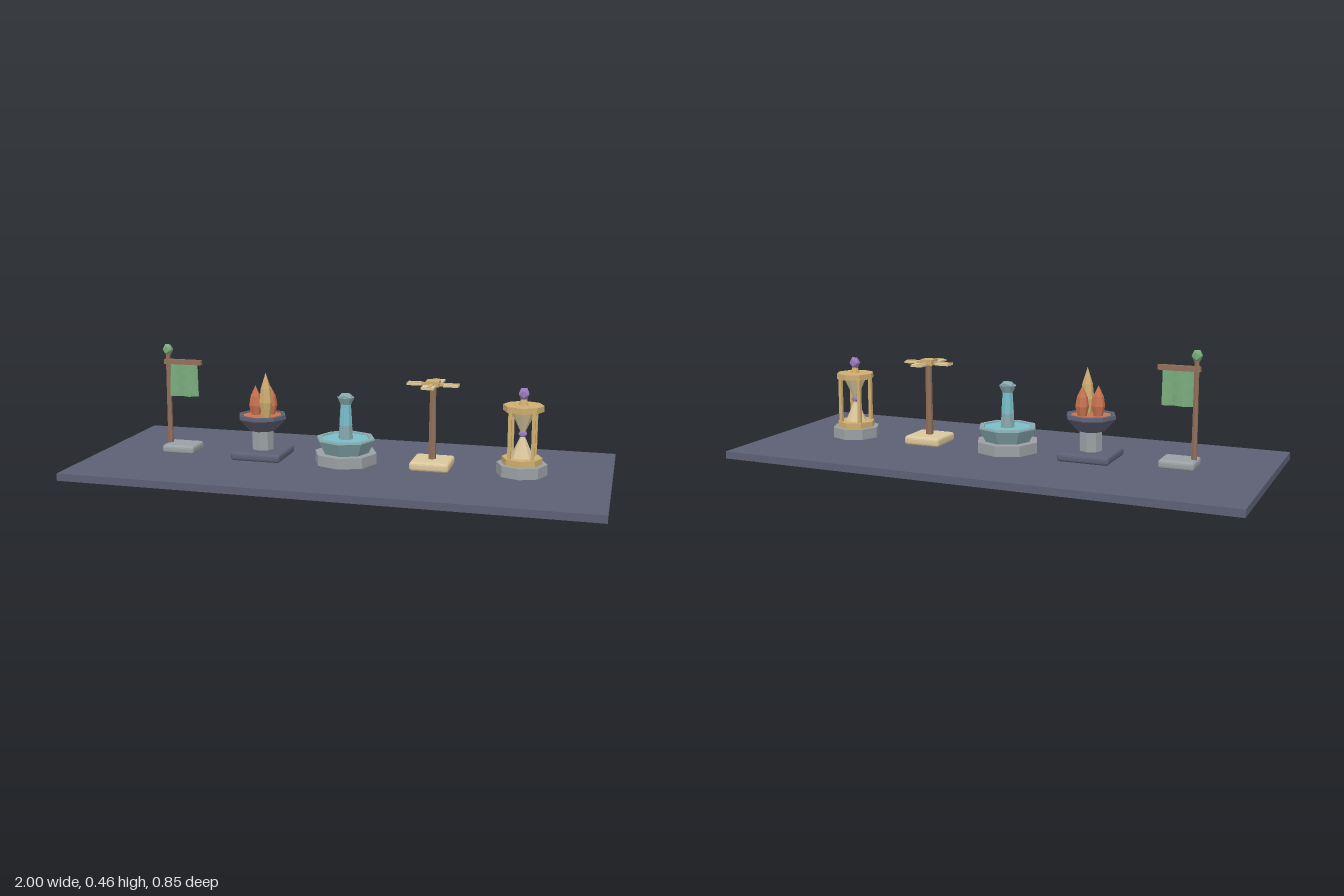
import * as THREE from 'three';
import { RoundedBoxGeometry } from 'three/addons/geometries/RoundedBoxGeometry.js';

const flat = (name, color) => {
  const m = new THREE.MeshStandardMaterial({ color, flatShading: true, side: THREE.DoubleSide });
  m.name = name;
  return m;
};

export function createModel() {
  const slate = flat('slate', 0x5d6074);
  const stone = flat('stone', 0x9aa0a4);
  const paleTeal = flat('paleTealStone', 0x86a9ad);
  const water = flat('water', 0x78bdc8);
  const gold = flat('goldenWood', 0xcfae70);
  const sand = flat('sand', 0xdac79c);
  const brown = flat('brownWood', 0x92705a);
  const green = flat('green', 0x7aac7c);
  const ember = flat('ember', 0xc87350);
  const purple = flat('purple', 0x9a7cbc);

  const root = new THREE.Group();
  const group = (name, x) => {
    const g = new THREE.Group();
    g.name = name;
    g.position.x = x;
    root.add(g);
    return g;
  };
  const add = (parent, name, geo, mat, x = 0, y = 0, z = 0) => {
    const m = new THREE.Mesh(geo, mat);
    m.name = name;
    m.position.set(x, y, z);
    parent.add(m);
    return m;
  };
  // Shapes given by bottom and top height
  const box = (p, name, mat, w, d, y0, y1, x = 0, z = 0) =>
    add(p, name, new THREE.BoxGeometry(w, y1 - y0, d), mat, x, (y0 + y1) / 2, z);
  const slab = (p, name, mat, w, d, y0, y1, x = 0) =>
    add(p, name, new RoundedBoxGeometry(w, y1 - y0, d, 2, 0.012), mat, x, (y0 + y1) / 2, 0);
  const prism = (p, name, mat, r0, r1, y0, y1, sides = 8, x = 0, z = 0) =>
    add(p, name, new THREE.CylinderGeometry(r1, r0, y1 - y0, sides), mat, x, (y0 + y1) / 2, z);
  const gem = (p, name, mat, r, y, x = 0, stretch = 1) => {
    const m = add(p, name, new THREE.IcosahedronGeometry(r, 0), mat, x, y, 0);
    m.scale.y = stretch;
    return m;
  };
  const lathe = (p, name, mat, pts, sides, x = 0, z = 0) =>
    add(p, name, new THREE.LatheGeometry(pts.map(a => new THREE.Vector2(...a)), sides), mat, x, 0, z);

  // Ground
  box(root, 'ground', slate, 2, 0.854, 0, 0.028);

  // Banner
  const banner = group('banner', -0.675);
  slab(banner, 'bannerBase', stone, 0.134, 0.114, 0.034, 0.068);
  prism(banner, 'bannerPole', brown, 0.011, 0.009, 0.066, 0.43, 6, -0.053);
  box(banner, 'crossbar', brown, 0.155, 0.017, 0.386, 0.405, 0.01);
  gem(banner, 'poleGem', green, 0.021, 0.443, -0.053, 1.15);
  const clothGeo = new THREE.BoxGeometry(0.114, 0.13, 0.005, 6, 3, 1);
  const cp = clothGeo.attributes.position;
  for (let i = 0; i < cp.count; i++) {
    const hang = 0.5 - cp.getY(i) / 0.13;
    cp.setZ(i, cp.getZ(i) + 0.006 * hang * Math.sin(cp.getX(i) * 90));
  }
  add(banner, 'cloth', clothGeo, green, 0.013, 0.323, 0);

  // Brazier
  const brazier = group('brazier', -0.337);
  slab(brazier, 'brazierBase', slate, 0.2, 0.196, 0.034, 0.067);
  prism(brazier, 'brazierColumn', stone, 0.044, 0.044, 0.066, 0.145);
  lathe(brazier, 'bowl', slate,
    [[0, 0.142], [0.052, 0.142], [0.097, 0.19], [0.095, 0.204], [0.08, 0.204], [0.076, 0.192]], 8);
  prism(brazier, 'coals', ember, 0.08, 0.08, 0.19, 0.2);
  const flames = [[0.025, 0.027, 0.374, gold], [-0.03, -0.008, 0.315, ember], [0.025, -0.03, 0.312, ember]];
  for (const [x, z, top, mat] of flames) {
    const h = top - 0.195;
    lathe(brazier, 'flame', mat,
      [[0, 0.195], [0.016, 0.195], [0.026, 0.195 + h * 0.35], [0.02, 0.195 + h * 0.65], [0, top]], 6, x, z);
  }

  // Fountain
  const fountain = group('fountain', 0);
  prism(fountain, 'fountainBase', stone, 0.122, 0.122, 0.034, 0.075);
  lathe(fountain, 'basin', paleTeal,
    [[0, 0.075], [0.09, 0.075], [0.116, 0.126], [0.114, 0.132], [0.096, 0.132], [0.092, 0.118]], 8);
  prism(fountain, 'pool', water, 0.096, 0.096, 0.118, 0.127);
  prism(fountain, 'fountainColumn', paleTeal, 0.029, 0.025, 0.12, 0.185);
  prism(fountain, 'waterColumn', water, 0.026, 0.02, 0.18, 0.27);
  prism(fountain, 'spoutCup', paleTeal, 0.022, 0.034, 0.262, 0.288);
  gem(fountain, 'spout', paleTeal, 0.031, 0.288, 0, 0.6);

  // Four-armed post
  const post = group('armPost', 0.337);
  slab(post, 'postBase', sand, 0.15, 0.15, 0.034, 0.07);
  prism(post, 'post', brown, 0.015, 0.012, 0.068, 0.35, 6);
  box(post, 'hub', gold, 0.05, 0.05, 0.347, 0.369);
  for (let i = 0; i < 4; i++) {
    const arm = new THREE.Group();
    arm.name = 'arm';
    arm.rotation.y = i * Math.PI / 2;
    post.add(arm);
    box(arm, 'spar', gold, 0.078, 0.014, 0.349, 0.36, 0.058);
    box(arm, 'paddle', sand, 0.055, 0.048, 0.35, 0.358, 0.07, 0.005);
  }

  // Hourglass
  const hourglass = group('hourglass', 0.673);
  prism(hourglass, 'hourglassBase', stone, 0.094, 0.094, 0.034, 0.075);
  prism(hourglass, 'lowerPlate', gold, 0.075, 0.075, 0.074, 0.098);
  prism(hourglass, 'upperPlate', gold, 0.075, 0.075, 0.272, 0.294);
  for (const x of [-1, 1]) for (const z of [-1, 1])
    box(hourglass, 'upright', gold, 0.013, 0.013, 0.096, 0.274, x * 0.043, z * 0.043);
  prism(hourglass, 'lowerSand', sand, 0.043, 0.004, 0.097, 0.186);
  prism(hourglass, 'upperSand', sand, 0.004, 0.046, 0.182, 0.273);
  gem(hourglass, 'neckGem', purple, 0.018, 0.186, 0, 0.85);
  prism(hourglass, 'finial', gold, 0.018, 0.012, 0.293, 0.314);
  gem(hourglass, 'topGem', purple, 0.022, 0.335, 0, 1.15);

  return root;
}
